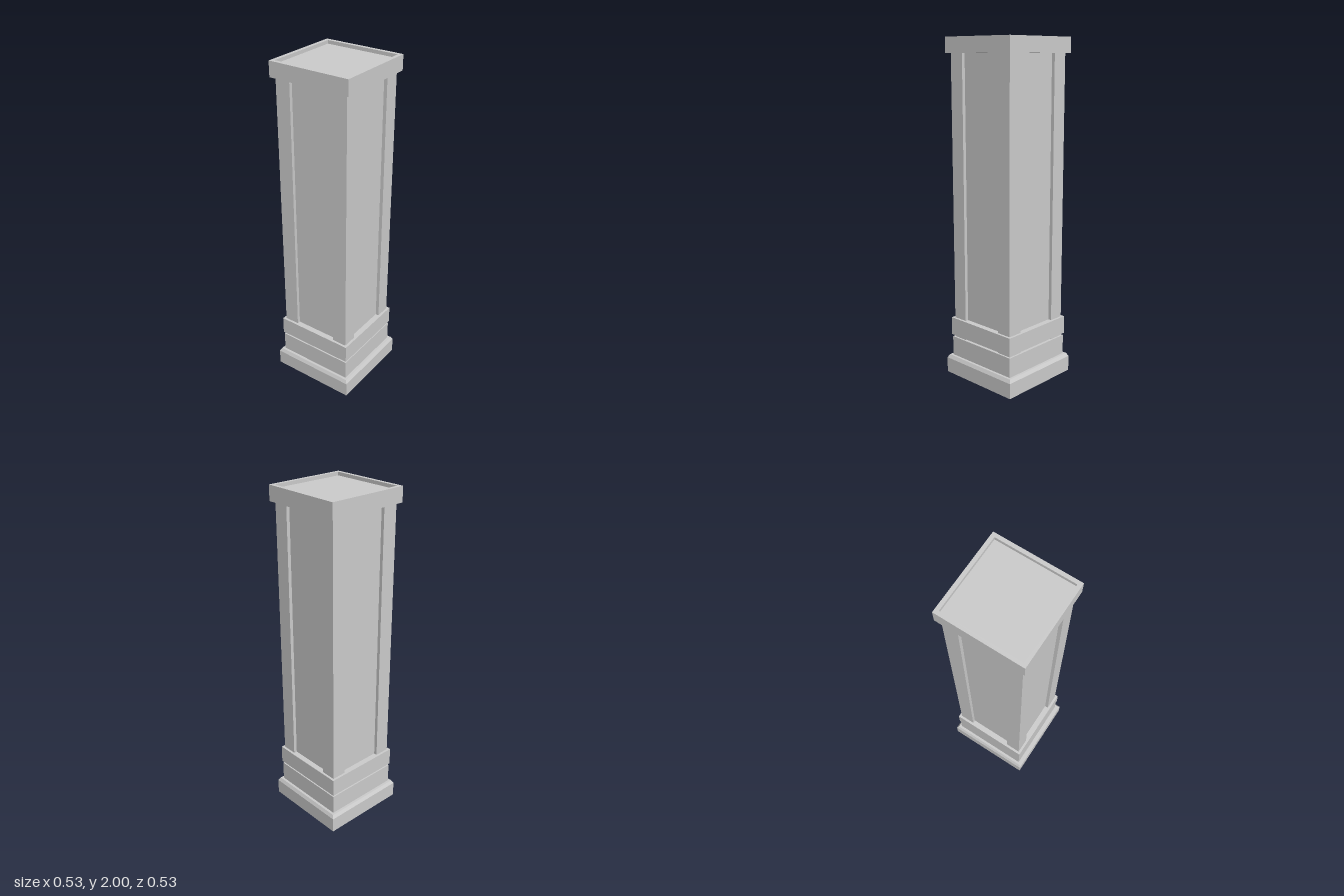
import * as THREE from 'three';

const material = new THREE.MeshStandardMaterial({ color: 0xcccccc, flatShading: true });

// Square moulding: profile of [half width, height] turned in four flat sides
function squareTurned(name, profile) {
  const points = profile.map(([r, y]) => new THREE.Vector2(r * Math.SQRT2, y));
  const geometry = new THREE.LatheGeometry(points, 4);
  geometry.rotateY(Math.PI / 4);
  const mesh = new THREE.Mesh(geometry, material);
  mesh.name = name;
  return mesh;
}

// Solid square block between two heights
const block = (name, half, y0, y1) =>
  squareTurned(name, [[0, y0], [half, y0], [half, y1], [0, y1]]);

// Shaft outline: square with a shallow recessed panel on each side
function shaftShape(half, panelHalf, depth) {
  const shape = new THREE.Shape();
  const inner = half - depth;
  const side = [
    [half, -half], [half, -panelHalf], [inner, -panelHalf],
    [inner, panelHalf], [half, panelHalf],
  ];
  const points = [];
  for (let i = 0; i < 4; i++) {
    const c = Math.round(Math.cos(i * Math.PI / 2));
    const s = Math.round(Math.sin(i * Math.PI / 2));
    for (const [x, y] of side) points.push(new THREE.Vector2(x * c - y * s, x * s + y * c));
  }
  shape.setFromPoints(points);
  return shape;
}

export function createModel() {
  const column = new THREE.Group();
  column.name = 'squareColumn';

  // Plinth with chamfered top edge and a shallow hollow underneath
  column.add(squareTurned('plinth', [
    [0, 0.02], [0.248, 0.02], [0.248, 0], [0.263, 0],
    [0.263, 0.092], [0.252, 0.112], [0, 0.112],
  ]));

  // Two base bands separated by a narrow groove
  column.add(block('lowerBand', 0.237, 0.112, 0.23));
  column.add(block('upperBand', 0.241, 0.244, 0.352));

  // Panelled shaft
  const shaftGeometry = new THREE.ExtrudeGeometry(shaftShape(0.226, 0.135, 0.02), {
    depth: 1.85, bevelEnabled: false,
  });
  shaftGeometry.rotateX(-Math.PI / 2);
  const shaft = new THREE.Mesh(shaftGeometry, material);
  shaft.name = 'shaft';
  shaft.position.y = 0.1;
  column.add(shaft);

  // Cap with a raised rim around a sunken top
  column.add(squareTurned('cap', [
    [0, 1.912], [0.248, 1.912], [0.248, 2],
    [0.226, 2], [0.226, 1.98], [0, 1.98],
  ]));

  return column;
}
